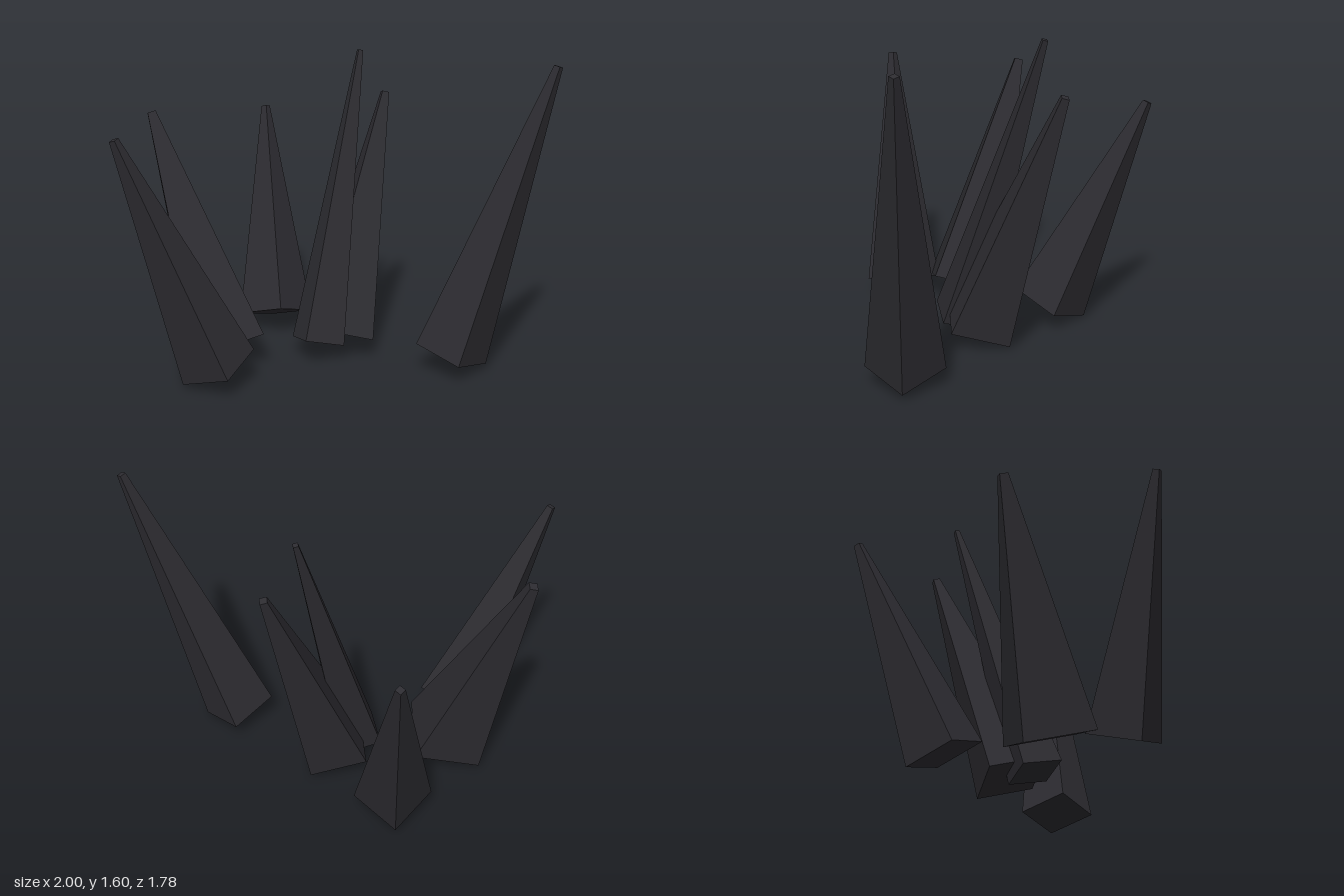
import * as THREE from 'three';

// Each spike: base centre, tip centre, one base corner, base radius
const SPIKES = [
  { name: 'farLeftSpike', base: [0.56, 0.10, 0.62], tip: [0.98, 1.60, 0.87], corner: [0.72, 0.04, 0.72], radius: 0.195 },
  { name: 'tallMiddleSpike', base: [0.11, 0.10, 0.065], tip: [0.545, 1.60, -0.15], corner: [-0.02, 0.147, 0.13], radius: 0.153 },
  { name: 'leaningMiddleSpike', base: [0.265, 0.105, 0.04], tip: [0.725, 1.355, -0.15], corner: [0.46, 0.025, -0.03], radius: 0.22 },
  { name: 'rearSpike', base: [0.195, 0.10, -0.445], tip: [0.425, 1.20, -0.87], corner: [0.28, 0.02, -0.61], radius: 0.203 },
  { name: 'wideSpike', base: [-0.295, 0.105, -0.197], tip: [-0.465, 1.30, -0.645], corner: [-0.05, 0.11, -0.28], radius: 0.258 },
  { name: 'farRightSpike', base: [-0.525, 0.105, 0.068], tip: [-0.977, 1.305, -0.11], corner: [-0.35, 0.18, 0.13], radius: 0.2 },
];
const TIP_RATIO = 0.12;

// Square tapered spike running from base to tip, with one edge facing the given corner
function makeSpike({ name, base, tip, corner, radius }, material) {
  const foot = new THREE.Vector3(...base);
  const axis = new THREE.Vector3(...tip).sub(foot);
  const length = axis.length();
  axis.normalize();
  const edge = new THREE.Vector3(...corner).sub(foot);
  edge.addScaledVector(axis, -edge.dot(axis)).normalize();
  const side = new THREE.Vector3().crossVectors(axis, edge);

  const geometry = new THREE.CylinderGeometry(radius * TIP_RATIO, radius, length, 4);
  geometry.translate(0, length / 2, 0);
  const mesh = new THREE.Mesh(geometry, material);
  mesh.name = name;
  mesh.quaternion.setFromRotationMatrix(new THREE.Matrix4().makeBasis(side, axis, edge));
  mesh.position.copy(foot);
  return mesh;
}

export function createModel() {
  const stone = new THREE.MeshStandardMaterial({ color: 0x2d2c31, flatShading: true });
  stone.name = 'dark stone';
  const group = new THREE.Group();
  group.name = 'stoneSpikes';
  for (const spike of SPIKES) group.add(makeSpike(spike, stone));
  return group;
}
